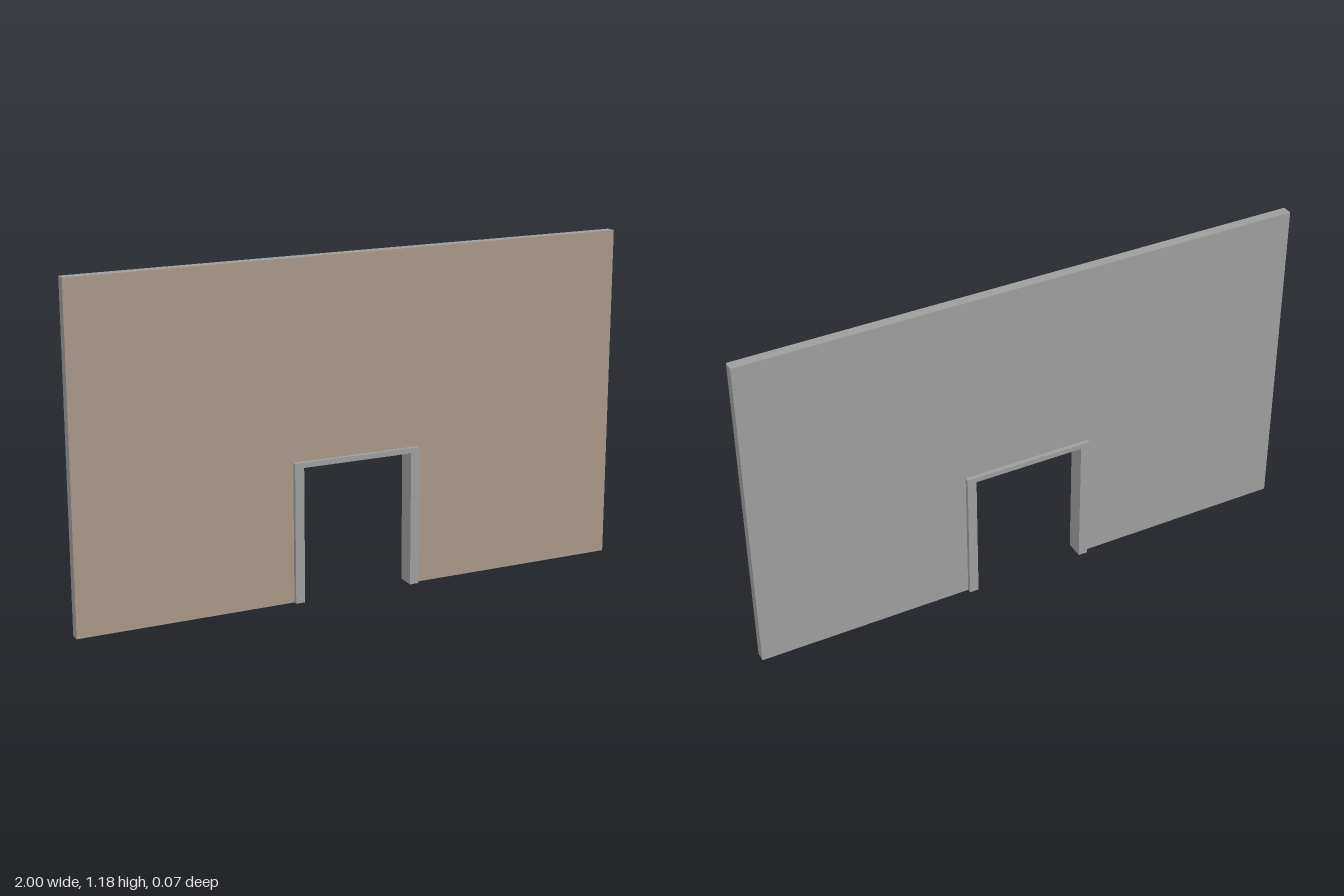
import * as THREE from 'three';

// Shape running around a doorway: outer rectangle with a notch open at the floor
function archShape(outerX, outerY, innerX, innerY) {
  return new THREE.Shape([
    [-outerX, 0], [-innerX, 0], [-innerX, innerY], [innerX, innerY],
    [innerX, 0], [outerX, 0], [outerX, outerY], [-outerX, outerY],
  ].map(([x, y]) => new THREE.Vector2(x, y)));
}

function slab(shape, depth) {
  const geometry = new THREE.ExtrudeGeometry(shape, { depth, bevelEnabled: false });
  geometry.translate(0, 0, -depth / 2);
  return geometry;
}

export function createModel() {
  const grey = new THREE.MeshStandardMaterial({ name: 'plain grey', color: 0xa0a0a0 });
  const taupe = new THREE.MeshStandardMaterial({ name: 'taupe paint', color: 0xa99a8a });

  const model = new THREE.Group();
  model.name = 'wallWithDoorway';

  const frameX = 0.233, frameY = 0.492;

  // Wall: back cap and edges grey, front cap painted
  const wallGeometry = slab(archShape(1, 1.18, frameX, frameY), 0.036);
  const [caps, sides] = wallGeometry.groups.map((g) => ({ ...g }));
  wallGeometry.clearGroups();
  wallGeometry.addGroup(caps.start, caps.count / 2, 0);
  wallGeometry.addGroup(caps.start + caps.count / 2, caps.count / 2, 1);
  wallGeometry.addGroup(sides.start, sides.count, 0);
  const wall = new THREE.Mesh(wallGeometry, [grey, taupe]);
  wall.name = 'wall';
  model.add(wall);

  // Door frame, standing proud of the wall on both faces
  const frame = new THREE.Mesh(slab(archShape(frameX, frameY, 0.2, 0.474), 0.066), grey);
  frame.name = 'doorFrame';
  model.add(frame);

  return model;
}
